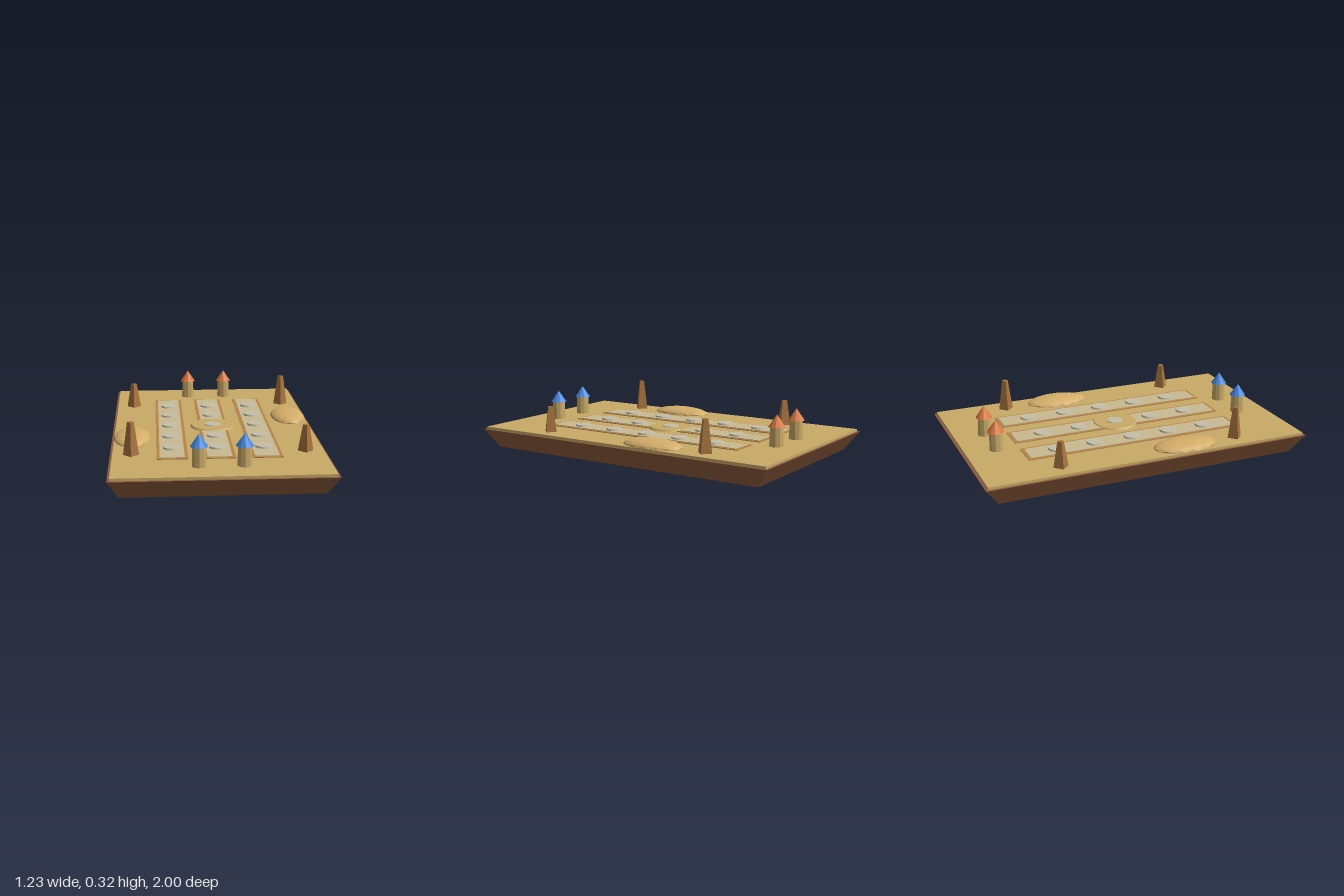
import * as THREE from 'three';

const mat = (name, color, flatShading = true) => {
  const m = new THREE.MeshStandardMaterial({ color, flatShading });
  m.name = name;
  return m;
};

export function createModel() {
  const group = new THREE.Group();
  const wood = mat('brown earth', 0x8b5a3c);
  const sand = mat('sand', 0xc9ab68);
  const duneSand = mat('dune sand', 0xd4ae6a);
  const trim = mat('clay trim', 0xb98548);
  const stone = mat('lane stone', 0xc9ba92);
  const padStone = mat('pad stone', 0xc6bea6);
  const rock = mat('rock', 0xa8743f);
  const blue = mat('blue roof', 0x4488e0);
  const orange = mat('orange roof', 0xd9773e);

  const add = (name, geometry, material, x, y, z) => {
    const mesh = new THREE.Mesh(geometry, material);
    mesh.name = name;
    mesh.position.set(x, y, z);
    group.add(mesh);
    return mesh;
  };
  // Solids placed by their lower and upper heights
  const box = (name, m, w, d, y0, y1, x = 0, z = 0) =>
    add(name, new THREE.BoxGeometry(w, y1 - y0, d), m, x, (y0 + y1) / 2, z);
  const drum = (name, m, rTop, rBottom, sides, y0, y1, x, z) =>
    add(name, new THREE.CylinderGeometry(rTop, rBottom, y1 - y0, sides), m, x, (y0 + y1) / 2, z);

  // Base with its underside drawn in
  const base = box('base', wood, 1.234, 2, 0, 0.114);
  const p = base.geometry.attributes.position;
  for (let i = 0; i < p.count; i++) {
    if (p.getY(i) < 0) {
      p.setX(i, p.getX(i) * 0.905);
      p.setZ(i, p.getZ(i) * 0.92);
    }
  }
  base.geometry.computeVertexNormals();
  box('sandFloor', sand, 1.205, 1.97, 0.114, 0.129);

  // Three bordered lanes with five round pads each
  for (const x of [-0.266, 0, 0.266]) {
    box('laneBorder', trim, 0.176, 1.35, 0.128, 0.133, x);
    box('lane', stone, 0.14, 1.312, 0.128, 0.136, x);
    for (let i = -2; i <= 2; i++) {
      drum('pad', padStone, 0.048, 0.053, 20, 0.13, 0.146, x, i * 0.239);
    }
  }
  drum('centreDisc', sand, 0.129, 0.138, 32, 0.129, 0.141, 0, 0);

  // Huts with pointed roofs, blue at the front and orange at the back
  for (const x of [-0.124, 0.124]) {
    for (const [z, roof] of [[0.8, blue], [-0.8, orange]]) {
      drum('hutWall', sand, 0.038, 0.042, 10, 0.129, 0.242, x, z);
      drum('hutRoof', roof, 0, 0.05, 10, 0.24, 0.312, x, z);
    }
  }

  // Four-sided rock spires
  for (const [x, z, top] of [
    [-0.496, 0.57, 0.32], [0.496, 0.55, 0.283],
    [-0.496, -0.535, 0.283], [0.496, -0.555, 0.32],
  ]) {
    drum('spire', rock, 0.019, 0.045, 4, 0.129, top, x, z);
  }

  // Dunes at both sides
  for (const [x, z] of [[-0.497, 0.237], [0.497, -0.208]]) {
    const dune = add('dune', new THREE.IcosahedronGeometry(1, 2), duneSand, x, 0.13, z);
    dune.scale.set(0.108, 0.04, 0.197);
  }
  return group;
}
